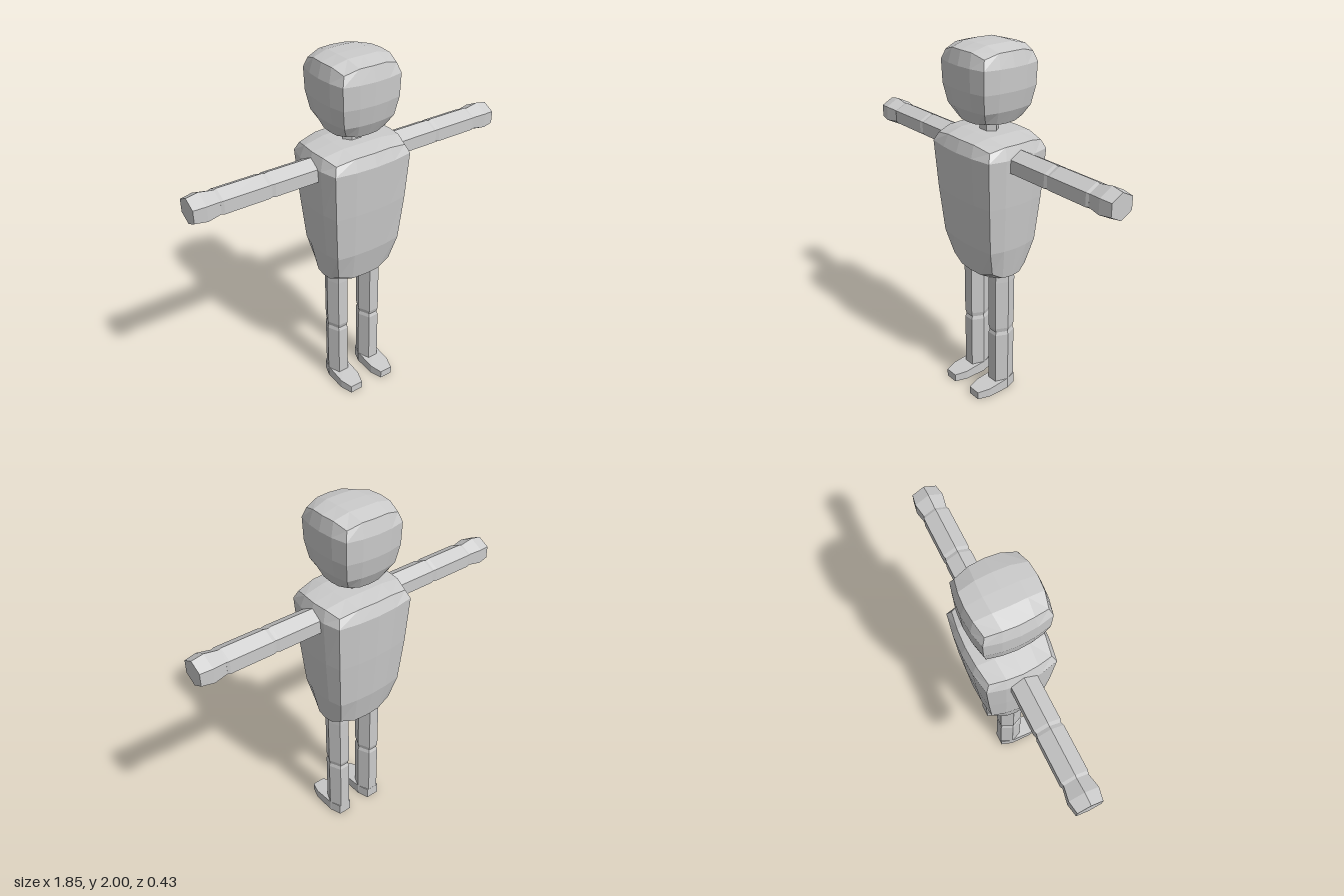
import * as THREE from 'three';

const material = new THREE.MeshStandardMaterial({ color: 0xcccccc, flatShading: true });

function part(name, geometry) {
  const flat = geometry.index ? geometry.toNonIndexed() : geometry;
  flat.computeVertexNormals();
  const mesh = new THREE.Mesh(flat, material);
  mesh.name = name;
  return mesh;
}

// Box with bulging sides; rows run upward as [y, half width, half depth]
function bulgedBox(rows, bulge, domeTop, domeBottom) {
  const last = rows.length - 1;
  const geometry = new THREE.BoxGeometry(2, 2, 2, 4, last, 4);
  const p = geometry.attributes.position;
  for (let i = 0; i < p.count; i++) {
    const u = p.getX(i), w = p.getZ(i);
    const row = Math.round((p.getY(i) + 1) / 2 * last);
    const [y, hx, hz] = rows[row];
    const dome = row === last ? domeTop : row === 0 ? -domeBottom : 0;
    p.setXYZ(i,
      u * hx * (1 - bulge * w * w),
      y + dome * (1 - (u ** 4 + w ** 4) / 2),
      w * hz * (1 - bulge * u * u));
  }
  return geometry;
}

// Closed six-sided limb along y, corners at +x and -x; profile holds [radius, y]
function hexLimb(profile, rx, rz) {
  const points = [[0, profile[0][1]], ...profile, [0, profile[profile.length - 1][1]]]
    .map(([r, y]) => new THREE.Vector2(r, y));
  return new THREE.LatheGeometry(points, 6, Math.PI / 2).scale(rx, 1, rz);
}

// Wedge foot whose top slopes down towards the toe
function footGeometry() {
  const half = [[0.038, -0.067], [0.06, 0], [0.06, 0.13], [0.038, 0.2]];
  const outline = [...half, ...half.map(([x, z]) => [-x, z]).reverse()];
  const shape = new THREE.Shape(outline.map(([x, z]) => new THREE.Vector2(x, -z)));
  const geometry = new THREE.ExtrudeGeometry(shape, { depth: 1, bevelEnabled: false });
  geometry.rotateX(-Math.PI / 2);
  const p = geometry.attributes.position;
  for (let i = 0; i < p.count; i++) {
    p.setY(i, p.getY(i) * (0.065 - 0.1 * Math.max(0, p.getZ(i))));
  }
  return geometry;
}

export function createModel() {
  const model = new THREE.Group();
  model.name = 'figure';

  // Head, neck and torso
  model.add(part('head', bulgedBox([
    [1.62, 0.135, 0.135], [1.68, 0.172, 0.172], [1.78, 0.192, 0.192],
    [1.9, 0.196, 0.196], [1.95, 0.176, 0.176],
  ], 0.13, 0.05, 0.028)));
  model.add(part('neck', hexLimb([[1, 1.5], [1, 1.64]], 0.058, 0.046)));
  model.add(part('torso', bulgedBox([
    [0.795, 0.192, 0.13], [0.94, 0.225, 0.172], [1.2, 0.247, 0.197],
    [1.46, 0.262, 0.215], [1.505, 0.24, 0.19],
  ], 0.12, 0.042, 0.07)));

  for (const [label, side] of [['left', 1], ['right', -1]]) {
    // Arm stretched sideways, with elbow and wrist grooves
    const arm = new THREE.Group();
    arm.name = label + 'Arm';
    arm.position.y = 1.427;
    arm.rotation.z = -side * Math.PI / 2;
    arm.add(part('upperArm', hexLimb(
      [[1, 0.2], [1, 0.495], [0.93, 0.512]], 0.071, 0.081)));
    arm.add(part('forearm', hexLimb(
      [[0.93, 0.512], [1, 0.53], [1, 0.77], [0.92, 0.785]], 0.071, 0.081)));
    arm.add(part('hand', hexLimb(
      [[0.82, 0.783], [1, 0.86], [0.86, 0.925]], 0.08, 0.09)));
    model.add(arm);

    // Leg with a knee groove and a forward foot
    const leg = new THREE.Group();
    leg.name = label + 'Leg';
    leg.position.x = side * 0.108;
    leg.add(part('shin', hexLimb(
      [[1, 0], [1, 0.37], [0.9, 0.39]], 0.061, 0.077)));
    leg.add(part('thigh', hexLimb(
      [[0.9, 0.39], [1, 0.415], [1, 0.71], [0.94, 0.78]], 0.061, 0.077)));
    leg.add(part('foot', footGeometry()));
    model.add(leg);
  }
  return model;
}
